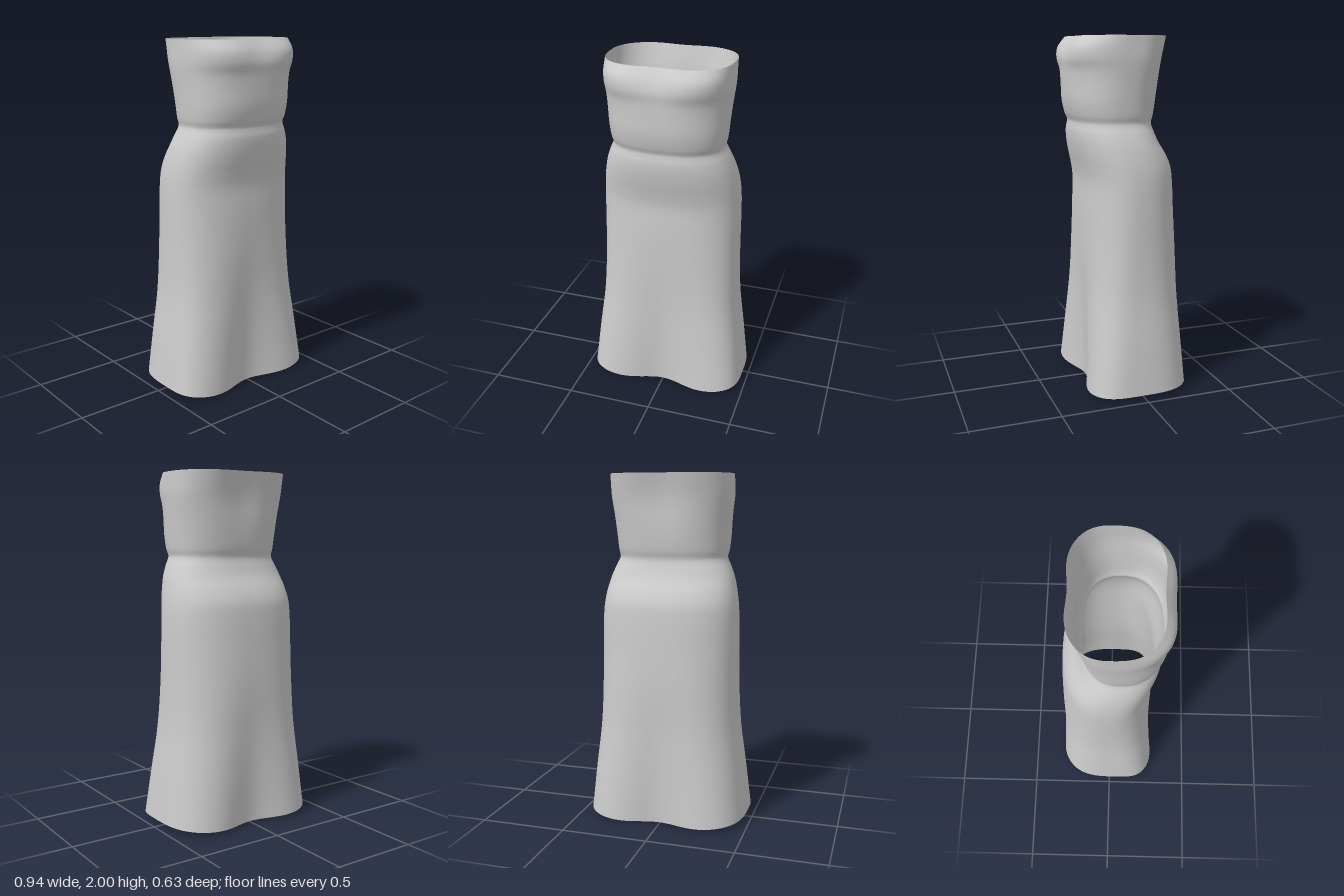
import * as THREE from 'three';

// Silhouette from hem to neckline: y, half width, front z, back z
const PROFILE = [
  [0.03, 0.47, 0.297, -0.342],
  [0.30, 0.442, 0.275, -0.322],
  [0.55, 0.413, 0.258, -0.305],
  [0.80, 0.402, 0.25, -0.295],
  [1.05, 0.40, 0.243, -0.28],
  [1.20, 0.397, 0.24, -0.272],
  [1.28, 0.39, 0.253, -0.262],
  [1.35, 0.378, 0.27, -0.232],
  [1.42, 0.36, 0.283, -0.188],
  [1.48, 0.336, 0.287, -0.163],
  [1.515, 0.319, 0.282, -0.152],
  [1.535, 0.314, 0.281, -0.152],
  [1.57, 0.322, 0.295, -0.162],
  [1.65, 0.33, 0.312, -0.175],
  [1.75, 0.338, 0.316, -0.188],
  [1.82, 0.345, 0.322, -0.196],
  [1.88, 0.35, 0.338, -0.206],
  [1.94, 0.35, 0.33, -0.22],
  [2.00, 0.35, 0.283, -0.235],
];

const SEGMENTS = 96; // around the body
const STEPS = 4; // rows between two cross-sections

const bell = (x, centre, width) => Math.exp(-(((x - centre) / width) ** 2));

// Point on a rounded-square outline whose middle dips inwards at front and back
function ringPoint([y, width, zFront, zBack], angle, isHem) {
  const front = Math.sin(angle) >= 0;
  // how strongly the skirt folds, the bust and the upper back shape this height
  const fold = Math.max(0, 1 - y / 1.05) ** 1.5;
  const bust = bell(y, 1.95, 0.1);
  const upperBack = THREE.MathUtils.smoothstep(y, 1.55, 2);

  const squareness = 2.45 + (front ? 1.4 * fold + 0.45 * bust : 0.65 * fold);
  const dip = front ? 0.088 * fold + 0.028 * bust : 0.083 * fold + 0.03 * upperBack;
  const zSide = 0.03 * fold + 0.06 * bell(y, 1.62, 0.24);

  const c = Math.cos(angle), s = Math.abs(Math.sin(angle));
  const radius = (Math.abs(c) ** squareness + s ** squareness) ** (-1 / squareness);
  const u = c * radius;
  const reach = (front ? zFront : zBack) - zSide;
  const inward = (front ? -dip : dip) * bell(u, 0, 0.4);
  // the hem hangs a little lower at front and back
  const drop = isHem ? (front ? 0.03 : 0.018) * (1 - u * u) : 0;
  return new THREE.Vector3(u * width, y - drop, zSide + reach * s * radius + inward);
}

function dressGeometry() {
  const rows = (PROFILE.length - 1) * STEPS;
  const positions = new Float32Array((rows + 1) * SEGMENTS * 3);
  const index = [];
  for (let j = 0; j < SEGMENTS; j++) {
    const angle = (j / SEGMENTS) * Math.PI * 2;
    const seam = new THREE.CatmullRomCurve3(
      PROFILE.map((ring, k) => ringPoint(ring, angle, k === 0)), false, 'centripetal');
    for (let i = 0; i <= rows; i++) {
      seam.getPoint(i / rows).toArray(positions, (i * SEGMENTS + j) * 3);
      if (i === rows) continue;
      const a = i * SEGMENTS + j, b = i * SEGMENTS + (j + 1) % SEGMENTS;
      const c = a + SEGMENTS, d = b + SEGMENTS;
      index.push(a, c, b, b, c, d);
    }
  }
  const geometry = new THREE.BufferGeometry();
  geometry.setAttribute('position', new THREE.BufferAttribute(positions, 3));
  geometry.setIndex(index);
  geometry.computeVertexNormals();
  return geometry;
}

export function createModel() {
  const group = new THREE.Group();
  group.name = 'straplessDress';
  // open cloth tube: bodice, waist and flared skirt in one surface
  const dress = new THREE.Mesh(
    dressGeometry(),
    new THREE.MeshStandardMaterial({ color: 0xcccccc, side: THREE.DoubleSide }));
  dress.name = 'dress';
  group.add(dress);
  return group;
}
